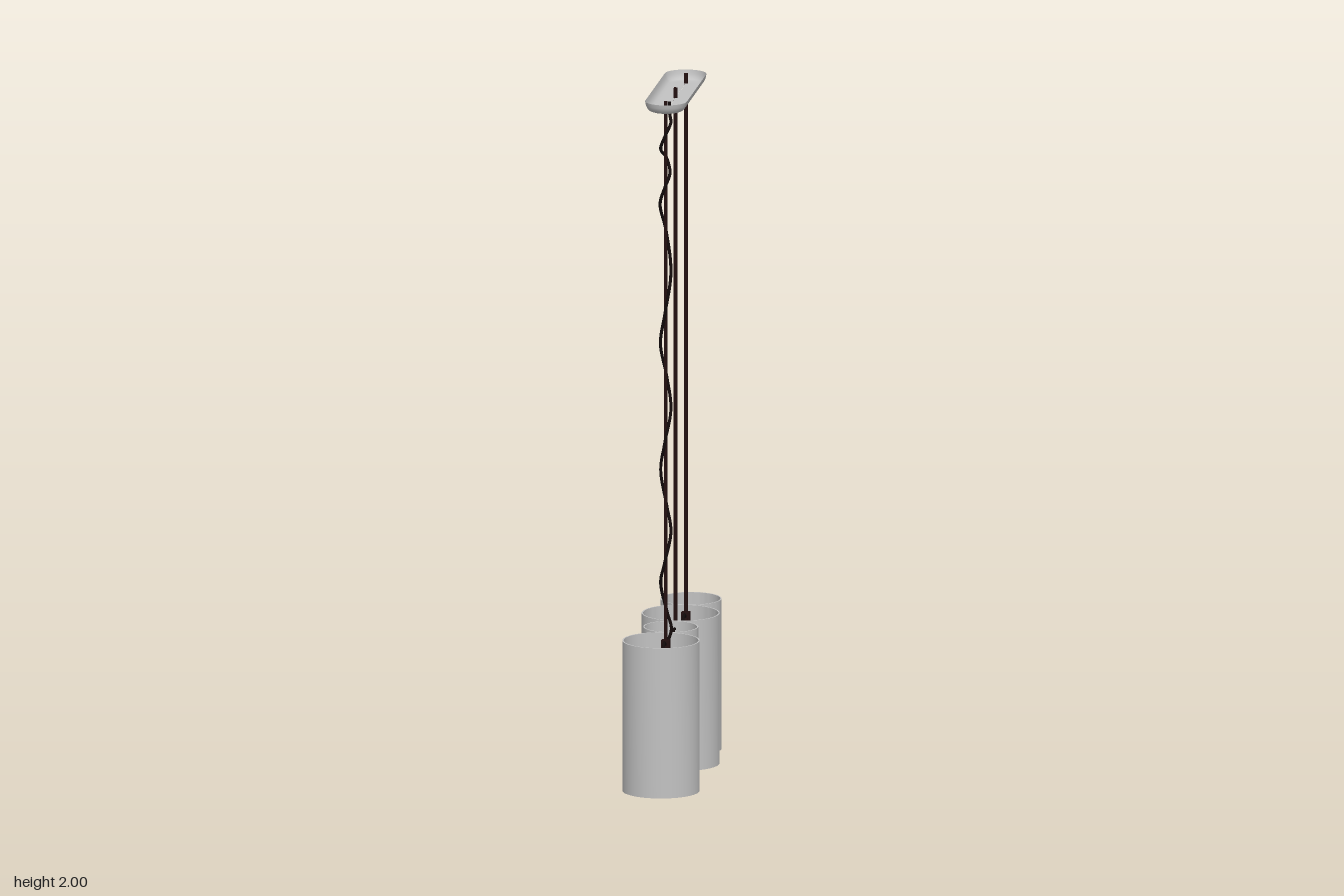
import * as THREE from 'three';
import { toCreasedNormals } from 'three/addons/utils/BufferGeometryUtils.js';

export function createModel() {
  const shadeGrey = new THREE.MeshStandardMaterial({ name: 'pale grey', color: 0xc2c2c2, side: THREE.DoubleSide });
  const darkBrown = new THREE.MeshStandardMaterial({ name: 'dark brown metal', color: 0x220f0f });
  const cordBlack = new THREE.MeshStandardMaterial({ name: 'black cord', color: 0x120a0a });

  const model = new THREE.Group();
  model.name = 'pendantLamp';
  const add = (parent, name, geometry, material, x = 0, y = 0, z = 0) => {
    const mesh = new THREE.Mesh(geometry, material);
    mesh.name = name;
    mesh.position.set(x, y, z);
    parent.add(mesh);
    return mesh;
  };
  const v2 = (x, y) => new THREE.Vector2(x, y);
  const cord = (name, points, radius, steps) => {
    const curve = new THREE.CatmullRomCurve3(points.map(p => new THREE.Vector3(...p)));
    add(model, name, new THREE.TubeGeometry(curve, steps, radius, 8), cordBlack);
  };

  // Four-armed holder plate: slotted hub ring with flared arms reaching radius R
  function spiderGeometry(R) {
    const shape = new THREE.Shape();
    const hub = 0.045, half = 0.005, flare = 0.44;
    for (let i = 0; i < 4; i++) {
      const a = i * Math.PI / 2, c = Math.cos(a), s = Math.sin(a);
      const at = (x, y) => [x * c - y * s, x * s + y * c];
      const polar = t => at(hub * Math.cos(t), hub * Math.sin(t));
      if (i === 0) shape.moveTo(...polar(-flare));
      shape.quadraticCurveTo(...at(0.047, -half), ...at(0.058, -half));
      shape.lineTo(...at(R, -half));
      shape.lineTo(...at(R, half));
      shape.lineTo(...at(0.058, half));
      shape.quadraticCurveTo(...at(0.047, half), ...polar(flare));
      shape.absarc(0, 0, hub, a + flare, a + Math.PI / 2 - flare, false);
      const slot = new THREE.Path();
      slot.absarc(0, 0, 0.036, a + 0.12, a + 1.45, false);
      slot.absarc(0, 0, 0.031, a + 1.45, a + 0.12, true);
      shape.holes.push(slot);
    }
    const g = new THREE.ExtrudeGeometry(shape, { depth: 0.008, bevelEnabled: false, curveSegments: 10 });
    return g.rotateX(-Math.PI / 2);
  }

  // Open tubular shades with a holder and socket in each
  const height = 0.44, wall = 0.004, holderY = 0.22;
  const shades = [[-0.300, 0.088], [-0.102, 0.112], [0.088, 0.079], [0.277, 0.111]];
  for (const [z, r] of shades) {
    const unit = new THREE.Group();
    unit.name = 'shadeUnit';
    unit.position.z = z;
    model.add(unit);
    const profile = [v2(r - wall, 0), v2(r, 0), v2(r, height), v2(r - wall, height), v2(r - wall, 0)];
    add(unit, 'shade', toCreasedNormals(new THREE.LatheGeometry(profile, 64), 0.6), shadeGrey);
    add(unit, 'holder', spiderGeometry(r - wall / 2), darkBrown, 0, holderY, 0);
    add(unit, 'socket', new THREE.CylinderGeometry(0.028, 0.028, 0.09, 32), darkBrown, 0, holderY + 0.01, 0);
    add(unit, 'socketCap', new THREE.CylinderGeometry(0.012, 0.022, 0.025, 24), darkBrown, 0, holderY + 0.067, 0);
  }

  // Canopy: round dish stretched along z into an open-topped tray
  const dish = [[0.0002, 1.971], [0.04, 1.971], [0.048, 1.974], [0.054, 1.980], [0.058, 1.989], [0.06, 2]];
  const tray = new THREE.LatheGeometry(dish.map(p => v2(...p)), 64, Math.PI / 64);
  const pos = tray.attributes.position;
  for (let i = 0; i < pos.count; i++) pos.setZ(i, pos.getZ(i) + Math.sign(pos.getZ(i)) * 0.1875);
  add(model, 'canopy', tray, shadeGrey, 0, 0, -0.007);

  // Square hanging rods with clamps where neighbouring shades meet
  const seams = [[-0.2, -0.212], [-0.005, 0.010], [0.186, 0.167]];
  for (const [z, seam] of seams) {
    add(model, 'rod', new THREE.BoxGeometry(0.01, 1.62, 0.01), darkBrown, 0, 1.19, z);
    add(model, 'clamp', new THREE.BoxGeometry(0.024, 0.035, 0.018), darkBrown, 0, 0.405, z);
    add(model, 'clampPin', new THREE.BoxGeometry(0.012, 0.012, 0.05), darkBrown, 0, 0.4, seam);
  }

  // Short cords arching from the clamps to the sockets
  const links = [[-0.2, 0], [-0.2, 1], [-0.005, 2], [0.186, 3]];
  for (const [z, i] of links) {
    const end = shades[i][0], mid = t => z + (end - z) * t;
    cord('socketCord', [[0, 0.405, z], [0, 0.42, mid(0.3)], [0, 0.39, mid(0.75)], [0, 0.28, end]], 0.004, 20);
  }

  // Supply cord winding loosely down the front rod
  cord('supplyCord', [
    [0, 1.985, 0.115], [0, 1.96, 0.118], [0.006, 1.945, 0.14], [0.014, 1.935, 0.185], [0, 1.90, 0.207],
    [-0.014, 1.86, 0.19], [0, 1.83, 0.166], [0.012, 1.79, 0.185], [0, 1.75, 0.211], [-0.015, 1.70, 0.195],
    [0, 1.62, 0.179], [0.015, 1.50, 0.186], [0, 1.38, 0.203], [-0.015, 1.29, 0.188], [0, 1.19, 0.166],
    [0.015, 1.10, 0.186], [0, 1.00, 0.211], [-0.014, 0.92, 0.19], [0, 0.81, 0.165], [0.015, 0.74, 0.186],
    [0, 0.65, 0.212], [-0.014, 0.59, 0.19], [0, 0.50, 0.162], [0.014, 0.45, 0.17], [0, 0.405, 0.186],
  ], 0.0045, 240);

  return model;
}
